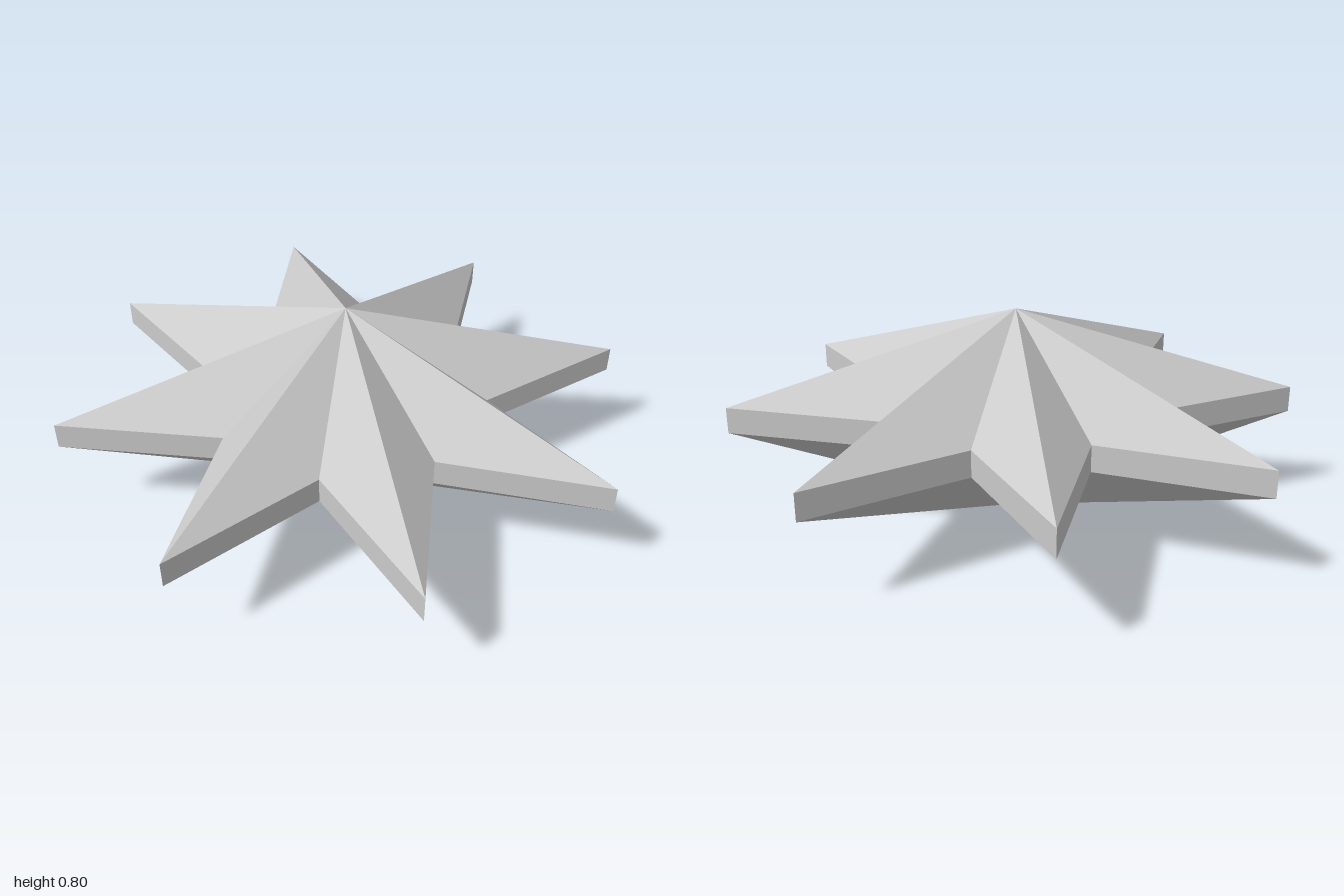
import * as THREE from 'three';

const POINTS = 8;
const TIP_RADIUS = 1.082;
const VALLEY_RADIUS = 0.535;
const RIM_BOTTOM = 0.35;
const RIM_TOP = 0.45;
const HEIGHT = 0.8;

// Corner i of the star outline: even corners are valleys, odd corners are tips
function corner(i, y) {
  const angle = (i * Math.PI) / POINTS;
  const r = i % 2 ? TIP_RADIUS : VALLEY_RADIUS;
  return [Math.sin(angle) * r, y, Math.cos(angle) * r];
}

// Mesh made by repeating the triangles of one facet around the outline
function ring(name, facet, material) {
  const positions = [];
  for (let i = 0; i < POINTS * 2; i++) positions.push(...facet(i, i + 1).flat());
  const geometry = new THREE.BufferGeometry();
  geometry.setAttribute('position', new THREE.Float32BufferAttribute(positions, 3));
  geometry.computeVertexNormals();
  const mesh = new THREE.Mesh(geometry, material);
  mesh.name = name;
  return mesh;
}

export function createModel() {
  const material = new THREE.MeshStandardMaterial({ color: 0xcccccc, flatShading: true });
  const group = new THREE.Group();
  group.name = 'eightPointedStar';

  // Upper star pyramid
  group.add(ring('upperFacets', (a, b) => [
    corner(a, RIM_TOP), corner(b, RIM_TOP), [0, HEIGHT, 0],
  ], material));

  // Upright band around the outline
  group.add(ring('rim', (a, b) => [
    corner(a, RIM_BOTTOM), corner(b, RIM_BOTTOM), corner(b, RIM_TOP),
    corner(a, RIM_BOTTOM), corner(b, RIM_TOP), corner(a, RIM_TOP),
  ], material));

  // Lower star pyramid
  group.add(ring('lowerFacets', (a, b) => [
    corner(b, RIM_BOTTOM), corner(a, RIM_BOTTOM), [0, 0, 0],
  ], material));

  return group;
}
